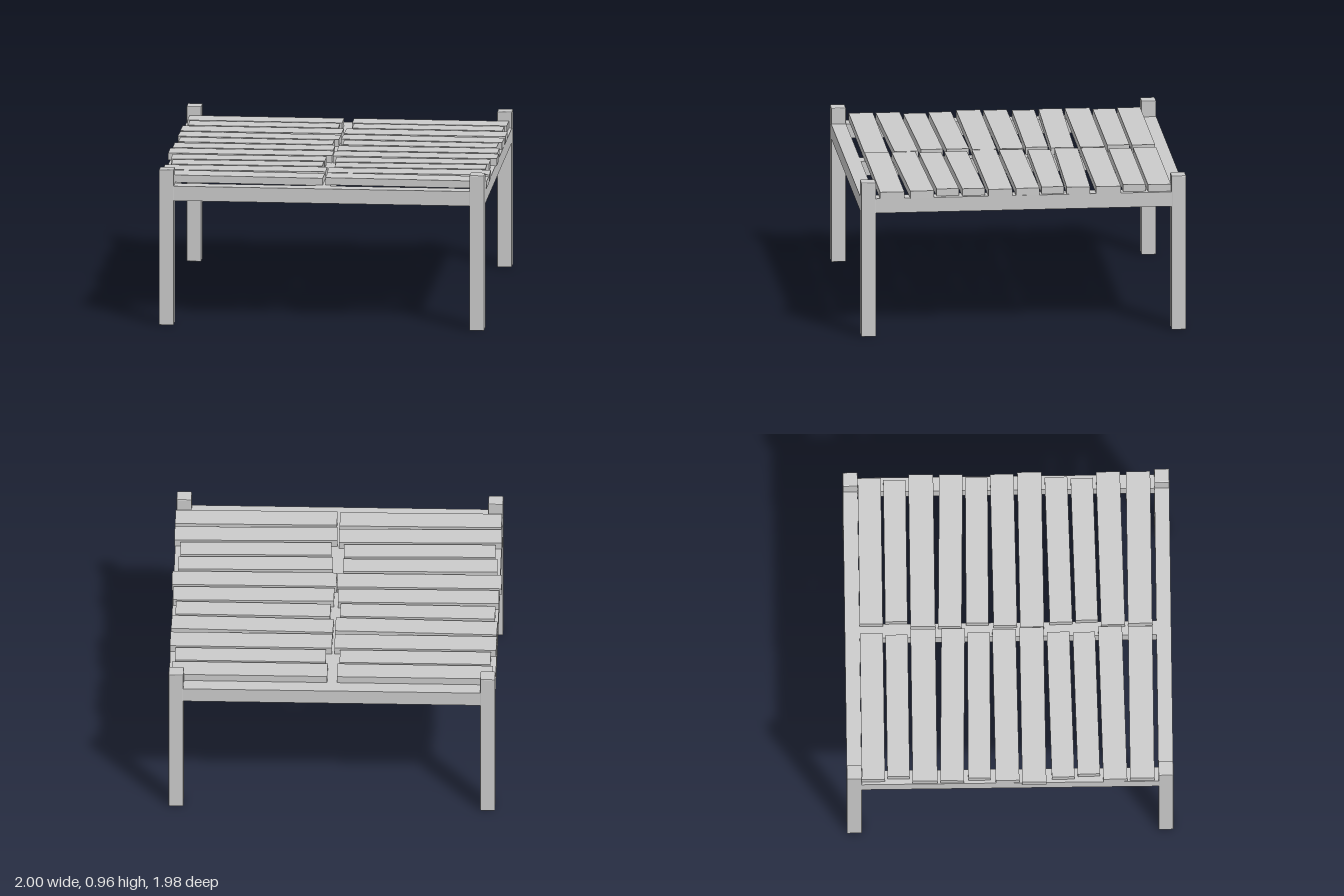
import * as THREE from 'three';
import { RoundedBoxGeometry } from 'three/addons/geometries/RoundedBoxGeometry.js';

const material = new THREE.MeshStandardMaterial({ color: 0xcccccc, flatShading: true });

export function createModel() {
  const group = new THREE.Group();
  group.name = 'slattedTable';

  const add = (name, geometry, x, y, z) => {
    const mesh = new THREE.Mesh(geometry, material);
    mesh.name = name;
    mesh.position.set(x, y, z);
    group.add(mesh);
    return mesh;
  };

  // Four square posts with slightly eased edges, rising above the slats
  const post = new RoundedBoxGeometry(0.09, 0.96, 0.09, 1, 0.005);
  for (const x of [-1, 1]) for (const z of [-1, 1]) add('leg', post, x * 0.943, 0.48, z * 0.943);

  // Frame rails around the edge and one centre beam running front to back
  const railY = 0.815, railH = 0.09;
  for (const s of [-1, 1]) {
    add('crossRail', new THREE.BoxGeometry(1.8, railH, 0.09), 0, railY, s * 0.943);
    add('sideRail', new THREE.BoxGeometry(0.09, railH, 1.8), s * 0.943, railY, 0);
  }
  add('centreBeam', new THREE.BoxGeometry(0.09, railH, 1.8), 0, railY, 0);

  // Slat rows: [centre z, length, width, yaw, roll, left centre x, right centre x]
  const rows = [
    [-0.827, 0.94, 0.14, 0, 0, -0.5, 0.5],
    [-0.675, 0.913, 0.135, 0, 0, -0.497, 0.5],
    [-0.515, 0.98, 0.15, 0, 0, -0.495, 0.5],
    [-0.342, 0.98, 0.142, -0.02, 0, -0.495, 0.497],
    [-0.182, 0.937, 0.136, -0.007, 0, -0.5, 0.497],
    [-0.02, 0.975, 0.143, 0.009, 0, -0.5, 0.498],
    [0.144, 0.996, 0.146, 0.004, 0, -0.502, 0.498],
    [0.312, 0.935, 0.137, 0.02, 0, -0.502, 0.495],
    [0.468, 0.915, 0.135, 0.02, 0, -0.495, 0.496],
    [0.627, 0.985, 0.145, 0.019, 0, -0.495, 0.5],
    [0.8, 0.98, 0.147, 0, -0.005, -0.493, 0.503],
  ];
  for (const [z, length, width, yaw, roll, leftX, rightX] of rows) {
    const geometry = new THREE.BoxGeometry(length, 0.045, width);
    for (const x of [leftX, rightX]) {
      add('slat', geometry, x, 0.881, z).rotation.set(0, yaw, roll);
    }
  }
  return group;
}
